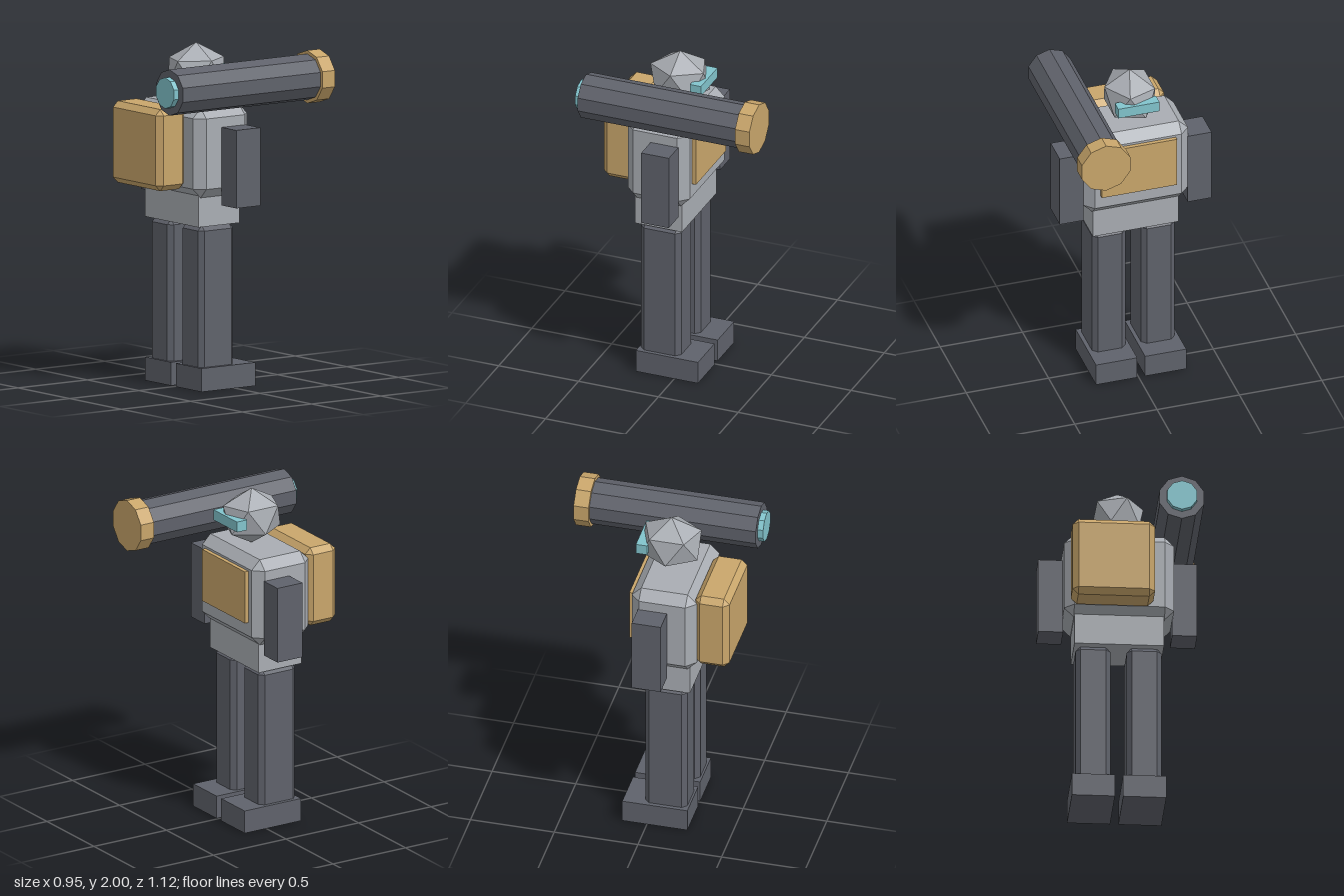
import * as THREE from 'three';
import { ConvexGeometry } from 'three/addons/geometries/ConvexGeometry.js';

const paint = (name, color) => new THREE.MeshStandardMaterial({ name, color, flatShading: true });

export function createModel() {
  const gunmetal = paint('gunmetal', 0x5f626b);
  const steel = paint('steel', 0xa9adb3);
  const tan = paint('tan', 0xc9a66b);
  const cyan = paint('cyan', 0x82c4cd);

  const model = new THREE.Group();
  model.name = 'robot';
  const add = (name, geometry, material, x = 0, y = 0, z = 0) => {
    const mesh = new THREE.Mesh(geometry, material);
    mesh.name = name;
    mesh.position.set(x, y, z);
    model.add(mesh);
  };

  // Parts are given by their [min, max] extents on each axis
  const mid = ([a, b]) => (a + b) / 2;
  const box = (name, material, x, y, z) =>
    add(name, new THREE.BoxGeometry(x[1] - x[0], y[1] - y[0], z[1] - z[0]), material, mid(x), mid(y), mid(z));

  // Box with every edge cut by a flat chamfer
  const chamferBox = (name, material, x, y, z, c) => {
    const h = [x, y, z].map(([a, b]) => (b - a) / 2);
    const points = [];
    for (const sx of [-1, 1]) for (const sy of [-1, 1]) for (const sz of [-1, 1])
      for (let axis = 0; axis < 3; axis++) {
        const p = h.map((v, i) => (i === axis ? v : v - c));
        points.push(new THREE.Vector3(sx * p[0], sy * p[1], sz * p[2]));
      }
    add(name, new ConvexGeometry(points), material, mid(x), mid(y), mid(z));
  };

  // Ten-sided cylinder lying along z, on the launcher axis
  const barrel = (name, material, radius, z0, z1) => {
    const geometry = new THREE.CylinderGeometry(radius, radius, z1 - z0, 10).rotateX(Math.PI / 2);
    add(name, geometry, material, 0.328, 1.788, (z0 + z1) / 2);
  };

  // Legs, feet and arms, mirrored about the body centre
  const cx = -0.015;
  for (const [side, s] of [['left', 1], ['right', -1]]) {
    const span = (a, b) => (s > 0 ? [cx + a, cx + b] : [cx - b, cx - a]);
    box(side + 'Foot', gunmetal, span(0.024, 0.274), [0, 0.137], [-0.148, 0.241]);
    chamferBox(side + 'Leg', gunmetal, span(0.047, 0.25), [0.09, 0.963], [-0.022, 0.229], 0.028);
    box(side + 'Arm', gunmetal, span(0.316, 0.461), [1.088, 1.545], [-0.043, 0.13]);
  }

  // Body
  box('hips', steel, [-0.275, 0.245], [0.963, 1.16], [-0.043, 0.253]);
  chamferBox('torso', steel, [-0.334, 0.304], [1.135, 1.66], [-0.093, 0.296], 0.056);
  box('chestPlate', tan, [-0.243, 0.213], [1.273, 1.59], [-0.117, -0.08]);
  chamferBox('backpack', tan, [-0.301, 0.178], [1.182, 1.66], [0.284, 0.488], 0.034);

  // Head: a stretched icosahedron standing on a vertex
  const headPoints = [new THREE.Vector3(0, 1, 0), new THREE.Vector3(0, -1, 0)];
  const ringY = 1 / Math.sqrt(5);
  for (let i = 0; i < 10; i++) {
    const a = (i * Math.PI) / 5;
    headPoints.push(new THREE.Vector3(2 * ringY * Math.cos(a), i % 2 ? -ringY : ringY, 2 * ringY * Math.sin(a)));
  }
  add('head', new ConvexGeometry(headPoints).scale(0.17, 0.168, 0.196), steel, cx, 1.832, 0.077);
  box('visor', cyan, [-0.14, 0.11], [1.8, 1.863], [-0.105, -0.037]);

  // Shoulder launcher
  barrel('launcherTube', gunmetal, 0.135, -0.48, 0.524);
  barrel('launcherCap', tan, 0.155, -0.56, -0.47);
  barrel('launcherLens', cyan, 0.091, 0.5, 0.557);

  return model;
}
